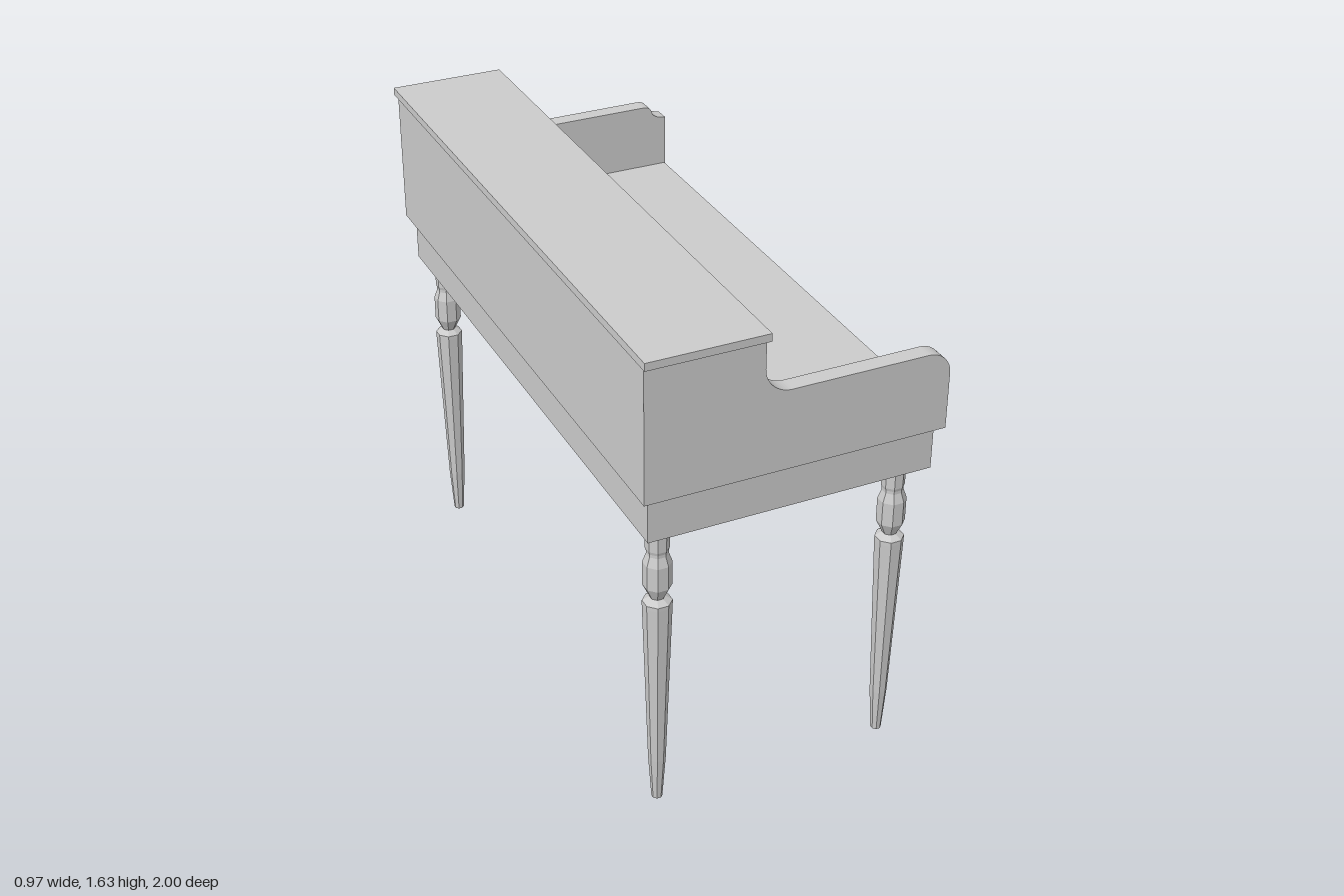
import * as THREE from 'three';

const mat = new THREE.MeshStandardMaterial({ color: 0xcccccc, flatShading: true });

function add(parent, name, geo) {
  const m = new THREE.Mesh(geo, mat);
  m.name = name;
  parent.add(m);
  return m;
}

// Box given by its limits on each axis
function box(parent, name, x0, x1, y0, y1, z0, z1) {
  const m = add(parent, name, new THREE.BoxGeometry(x1 - x0, y1 - y0, z1 - z0));
  m.position.set((x0 + x1) / 2, (y0 + y1) / 2, (z0 + z1) / 2);
  return m;
}

// Small six-sided knob pointing along +x
function knob(parent, x, y, z) {
  const pts = [[0, 0], [0.008, 0], [0.008, 0.006], [0.018, 0.01], [0.018, 0.016], [0, 0.02]];
  const k = add(parent, 'knob', new THREE.LatheGeometry(pts.map(p => new THREE.Vector2(...p)), 6));
  k.rotation.z = -Math.PI / 2;
  k.position.set(x, y, z);
}

// Open-topped drawer whose front face lies at x
function drawer(parent, name, x, depth, y0, y1, z0, z1, knobY, knobZ) {
  const g = new THREE.Group(), t = 0.012, back = x - depth;
  g.name = name;
  box(g, 'drawerFront', x - 0.015, x, y0, y1, z0, z1);
  box(g, 'drawerBack', back, back + t, y0, y1, z0 + t, z1 - t);
  box(g, 'drawerSide', back, x - 0.015, y0, y1, z0, z0 + t);
  box(g, 'drawerSide', back, x - 0.015, y0, y1, z1 - t, z1);
  box(g, 'drawerBottom', back + t, x - 0.015, y0, y0 + t, z0 + t, z1 - t);
  knob(g, x, knobY, knobZ);
  parent.add(g);
}

// Side panel outline: tall at the back, swept down to a low arm
function sidePanel(notched) {
  const s = new THREE.Shape();
  s.moveTo(-0.48, 1.17);
  s.lineTo(0.48, 1.17);
  if (notched) {
    s.lineTo(0.48, 1.38);
    s.lineTo(0.455, 1.385);
    s.quadraticCurveTo(0.43, 1.39, 0.425, 1.415);
    s.quadraticCurveTo(0.42, 1.43, 0.39, 1.43);
  } else {
    s.lineTo(0.48, 1.355);
    s.absarc(0.405, 1.355, 0.075, 0, Math.PI / 2, false);
  }
  s.lineTo(-0.03, 1.43);
  s.absarc(-0.03, 1.515, 0.085, -Math.PI / 2, -Math.PI, true);
  s.lineTo(-0.115, 1.61);
  s.lineTo(-0.48, 1.61);
  return new THREE.ExtrudeGeometry(s, { depth: 0.055, bevelEnabled: false, curveSegments: 8 });
}

export function createModel() {
  const desk = new THREE.Group();
  desk.name = 'writingDesk';

  // Turned legs with eight sides
  const profile = [[0, 0], [0.017, 0], [0.027, 0.155], [0.045, 0.735], [0.045, 0.748], [0.023, 0.762],
    [0.044, 0.805], [0.044, 0.885], [0.033, 0.915], [0.033, 0.925], [0.036, 0.935], [0.036, 1.03], [0, 1.03]]
    .map(p => new THREE.Vector2(...p));
  for (const x of [-0.387, 0.387]) for (const z of [-0.868, 0.868]) {
    const leg = add(desk, 'leg', new THREE.LatheGeometry(profile, 8, Math.PI / 8));
    leg.position.set(x, 0, z);
  }

  // Apron case, open at the front
  const apron = new THREE.Group();
  apron.name = 'apron';
  box(apron, 'apronBottom', -0.455, 0.46, 1.02, 1.048, -0.95, 0.95);
  box(apron, 'apronTop', -0.455, 0.46, 1.142, 1.17, -0.95, 0.95);
  box(apron, 'apronBack', -0.455, -0.435, 1.048, 1.142, -0.95, 0.95);
  for (const s of [-0.935, 0.935])
    box(apron, 'apronEnd', -0.435, 0.46, 1.048, 1.142, s - 0.015, s + 0.015);
  drawer(apron, 'apronDrawer', 0.45, 0.8, 1.05, 1.138, 0.002, 0.917, 1.094, 0.487);
  desk.add(apron);

  // Writing surface and side panels
  box(desk, 'writingSurface', -0.48, 0.477, 1.17, 1.205, -0.925, 0.925);
  add(desk, 'sidePanel', sidePanel(false)).position.z = 0.925;
  add(desk, 'notchedSidePanel', sidePanel(true)).position.z = -0.98;

  // Upper cabinet
  const hutch = new THREE.Group();
  hutch.name = 'hutch';
  box(hutch, 'topBoard', -0.487, -0.11, 1.61, 1.635, -1, 1);
  box(hutch, 'backPanel', -0.48, -0.46, 1.205, 1.61, -0.925, 0.925);
  box(hutch, 'hutchFloor', -0.46, -0.125, 1.205, 1.22, -0.925, 0.925);
  for (const s of [-1, 1]) {
    const [a, b] = s > 0 ? [0.342, 0.915] : [-0.915, -0.342];
    box(hutch, 'divider', -0.46, -0.125, 1.22, 1.61, s * 0.335 - 0.007, s * 0.335 + 0.007);
    box(hutch, 'cabinetEnd', -0.46, -0.125, 1.22, 1.61, s * 0.92 - 0.005, s * 0.92 + 0.005);
    box(hutch, 'shelf', -0.46, -0.125, 1.395, 1.432, a, b);
    box(hutch, 'upperRail', -0.46, -0.125, 1.598, 1.61, a, b);
    box(hutch, 'lowerRail', -0.46, -0.125, 1.22, 1.228, a, b);
  }
  // Closed upper drawer and pulled-out lower drawer
  drawer(hutch, 'upperDrawer', -0.13, 0.32, 1.435, 1.595, -0.905, -0.347, 1.5, -0.61);
  drawer(hutch, 'openDrawer', -0.02, 0.32, 1.23, 1.392, -0.905, -0.347, 1.31, -0.61);
  desk.add(hutch);

  return desk;
}
